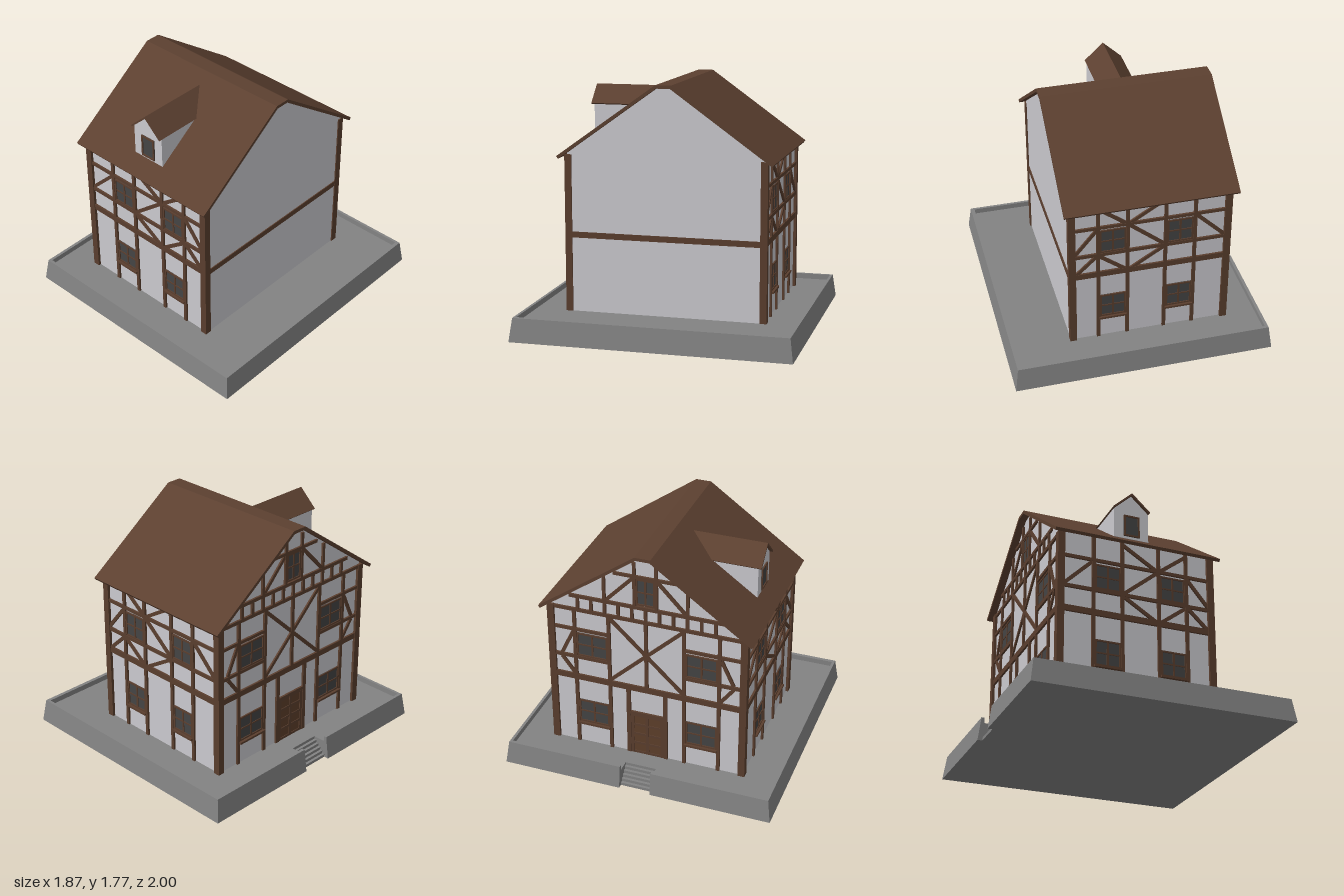
import * as THREE from 'three';

const mat = (name, color) => {
  const m = new THREE.MeshStandardMaterial({ color });
  m.name = name;
  return m;
};

export function createModel() {
  const plaster = mat('plaster', 0xcbcacf);
  const timber = mat('timber', 0x5a3e2e);
  const roofBrown = mat('roof tile', 0x5c4030);
  const glass = mat('window glass', 0x444444);
  const stone = mat('stone', 0x838383);
  const doorWood = mat('door wood', 0x5e3f2a);

  const house = new THREE.Group();
  house.name = 'timberFramedHouse';

  const add = (parent, name, geometry, material) => {
    const mesh = new THREE.Mesh(geometry, material);
    mesh.name = name;
    parent.add(mesh);
    return mesh;
  };
  const shapeOf = (pts) => new THREE.Shape(pts.map(([x, y]) => new THREE.Vector2(x, y)));
  const extrude = (pts, depth) => new THREE.ExtrudeGeometry(shapeOf(pts), { depth, bevelEnabled: false });
  // Box between two corners
  const block = (parent, name, material, x0, x1, y0, y1, z0, z1) => {
    const m = add(parent, name, new THREE.BoxGeometry(x1 - x0, y1 - y0, z1 - z0), material);
    m.position.set((x0 + x1) / 2, (y0 + y1) / 2, (z0 + z1) / 2);
    return m;
  };
  // Profile in (z, y) swept along x
  const alongX = (pts, x0, x1) =>
    extrude(pts.map(([z, y]) => [-z, y]).reverse(), x1 - x0).rotateY(Math.PI / 2).translate(x0, 0, 0);

  // Plinth: sloping outer faces, sunken floor, rim broken at the steps
  const floor = 0.13, rimTop = 0.17, gap = 0.115;
  const plinthPart = (name, pts, y0, y1) => {
    const g = extrude(pts, y1 - y0).rotateX(-Math.PI / 2).translate(0, y0, 0);
    const p = g.attributes.position;
    for (let i = 0; i < p.count; i++) {
      const x = p.getX(i), z = p.getZ(i), inset = 0.023 * p.getY(i) / rimTop;
      if (Math.abs(x) > 0.92) p.setX(i, x - Math.sign(x) * inset);
      if (Math.abs(z) > 0.97) p.setZ(i, z - Math.sign(z) * inset);
    }
    g.computeVertexNormals();
    add(house, name, g, stone);
  };
  const outer = [[-0.935, -gap], [-0.935, -1], [0.935, -1], [0.935, 1], [-0.935, 1], [-0.935, gap]];
  plinthPart('plinth', [...outer, [-0.8, gap], [-0.8, -gap]], 0, floor);
  plinthPart('plinthRim', [...outer, [-0.89, gap], [-0.89, 0.957], [0.885, 0.957],
    [0.885, -0.957], [-0.89, -0.957], [-0.89, -gap]], floor, rimTop);
  for (let i = 0; i < 5; i++) {
    block(house, 'step', stone, -0.9 + i * 0.02, -0.88 + i * 0.02, 0, floor * (i + 1) / 6, -gap, gap);
  }

  // Plaster body and roof
  add(house, 'walls', alongX([[-0.71, floor], [0.71, floor], [0.71, 1.273], [0.05, 1.746],
    [-0.05, 1.746], [-0.71, 1.273]], -0.655, 0.477), plaster);
  add(house, 'roof', alongX([[0.778, 1.252], [0.056, 1.768], [-0.056, 1.768], [-0.778, 1.252],
    [-0.765, 1.234], [-0.05, 1.745], [0.05, 1.745], [0.765, 1.234]], -0.709, 0.519), roofBrown);

  // Corner posts and the side girder
  for (const s of [-1, 1]) {
    const z0 = Math.min(s * 0.68, s * 0.73), z1 = z0 + 0.05;
    block(house, 'cornerPost', timber, -0.674, -0.624, floor, 1.262, z0, z1);
    block(house, 'cornerPost', timber, 0.436, 0.485, floor, 1.262, z0, z1);
  }
  block(house, 'sideGirder', timber, 0.46, 0.484, 0.667, 0.709, -0.69, 0.69);

  // Wall-local helpers: u across, v up, w outward
  const D = 0.015;
  const beam = (wall, u0, u1, v0, v1, name = 'beam', d = D) =>
    block(wall, name, timber, Math.min(u0, u1), Math.max(u0, u1), v0, v1, -0.005, d);
  const brace = (wall, u0, v0, u1, v1) => {
    const len = Math.hypot(u1 - u0, v1 - v0) + 0.015;
    const m = add(wall, 'brace', new THREE.BoxGeometry(len, 0.025, D), timber);
    m.position.set((u0 + u1) / 2, (v0 + v1) / 2, D / 2 - 0.002);
    m.rotation.z = Math.atan2(v1 - v0, u1 - u0);
  };
  const casement = (wall, u, v, w, h, panes = true) => {
    const g = new THREE.Group();
    g.name = 'window';
    g.position.set(u, v, 0);
    wall.add(g);
    block(g, 'glass', glass, -w / 2, w / 2, -h / 2, h / 2, 0, 0.004);
    const t = 0.012;
    for (const s of [-1, 1]) {
      beam(g, s * w / 2, s * (w / 2 - t), -h / 2, h / 2, 'frame', 0.011);
      const c = s * (h / 2 - t / 2);
      beam(g, -w / 2, w / 2, c - t / 2, c + t / 2, 'frame', 0.011);
    }
    if (panes) {
      beam(g, -0.007, 0.007, -h / 2, h / 2, 'mullion', 0.009);
      beam(g, -w / 2, w / 2, -0.005, 0.005, 'mullion', 0.009);
    }
  };
  const wallGroup = (name, x, z, turn) => {
    const g = new THREE.Group();
    g.name = name;
    g.position.set(x, 0, z);
    g.rotation.y = turn;
    house.add(g);
    return g;
  };

  // Front and back walls, mirror images of each other
  for (const f of [1, -1]) {
    const wall = wallGroup(f > 0 ? 'frontWall' : 'backWall', 0, f * 0.71, f > 0 ? 0 : Math.PI);
    for (const u of [-0.413, -0.203, 0.067, 0.276]) {
      beam(wall, f * (u - 0.0125), f * (u + 0.0125), floor, 1.265, 'post');
    }
    for (const [v0, v1] of [[0.67, 0.713], [0.847, 0.872], [1.075, 1.098]]) {
      beam(wall, f * -0.64, f * 0.45, v0, v1);
    }
    for (const u of [-0.308, 0.1715]) {
      casement(wall, f * u, 0.402, 0.186, 0.188);
      casement(wall, f * u, 0.966, 0.186, 0.188);
      beam(wall, f * (u - 0.1), f * (u + 0.1), 0.293, 0.308, 'sill', 0.028);
    }
    for (const [a, b, c, d] of [[-0.624, 0.875, -0.426, 1.07], [-0.19, 1.24, 0.055, 1.09],
      [0.08, 1.095, 0.263, 1.235], [-0.19, 0.872, 0.055, 1.075], [-0.19, 0.847, 0.055, 0.695],
      [0.08, 0.7, 0.263, 0.84], [0.288, 0.845, 0.436, 0.705], [0.288, 1.065, 0.436, 0.885]]) {
      brace(wall, f * a, b, f * c, d);
    }
  }

  // Gable wall with the door
  const gable = wallGroup('doorWall', -0.655, 0, -Math.PI / 2);
  beam(gable, -0.69, 0.69, 0.67, 0.713);
  beam(gable, -0.69, 0.69, 1.235, 1.26);
  beam(gable, -0.56, 0.56, 1.345, 1.37);
  for (let i = -5; i <= 5; i++) beam(gable, i * 0.1 - 0.011, i * 0.1 + 0.011, 1.25, 1.35, 'joistEnd');
  beam(gable, -0.0125, 0.0125, 0.7, 1.24, 'post');
  brace(gable, -0.27, 0.72, 0.27, 1.23);
  brace(gable, -0.27, 1.23, 0.27, 0.72);
  for (const s of [-1, 1]) {
    for (const u of [0.275, 0.53]) beam(gable, s * (u - 0.0125), s * (u + 0.0125), floor, 1.24, 'post');
    beam(gable, s * 0.122, s * 0.152, floor, 0.68, 'doorPost');
    beam(gable, s * 0.27, s * 0.69, 0.847, 0.872);
    beam(gable, s * 0.27, s * 0.69, 1.075, 1.098);
    casement(gable, s * 0.4025, 0.402, 0.23, 0.188);
    casement(gable, s * 0.4025, 0.966, 0.23, 0.188);
    beam(gable, s * 0.28, s * 0.525, 0.293, 0.308, 'sill', 0.03);
    brace(gable, s * 0.54, 1.07, s * 0.63, 0.88);
    brace(gable, s * 0.54, 0.72, s * 0.63, 0.84);
    beam(gable, s * 0.068, s * 0.09, 1.36, 1.705, 'gablePost');
    beam(gable, s * 0.29, s * 0.312, 1.36, 1.555, 'gablePost');
    brace(gable, s * 0.09, 1.58, s * 0.29, 1.37);
  }
  beam(gable, -0.23, 0.23, 1.585, 1.607);
  casement(gable, 0, 1.48, 0.136, 0.205);

  // Panelled door
  block(gable, 'door', doorWood, -0.122, 0.122, floor, 0.47, -0.005, 0.005);
  for (const u of [-0.11, 0, 0.11]) beam(gable, u - 0.011, u + 0.011, floor, 0.47, 'doorStile', 0.011);
  for (let i = 0; i < 5; i++) beam(gable, -0.12, 0.12, floor + i * 0.08, floor + i * 0.08 + 0.018, 'doorRail', 0.01);
  beam(gable, -0.14, 0.14, 0.468, 0.49, 'doorLintel');

  // Dormer
  const dormer = new THREE.Group();
  dormer.name = 'dormer';
  dormer.position.x = -0.108;
  house.add(dormer);
  add(dormer, 'dormerWalls', extrude([[-0.13, 1.342], [0.13, 1.342], [0.13, 1.575], [0, 1.692],
    [-0.13, 1.575]], 0.535).translate(0, 0, 0.12), plaster);
  add(dormer, 'dormerRoof', extrude([[-0.138, 1.575], [-0.13, 1.567], [0, 1.688], [0.13, 1.567],
    [0.138, 1.575], [0, 1.704]], 0.558).translate(0, 0, 0.12), roofBrown);
  const dormerFace = new THREE.Group();
  dormerFace.name = 'dormerFace';
  dormerFace.position.z = 0.655;
  dormer.add(dormerFace);
  casement(dormerFace, 0.002, 1.442, 0.118, 0.165, false);

  return house;
}
